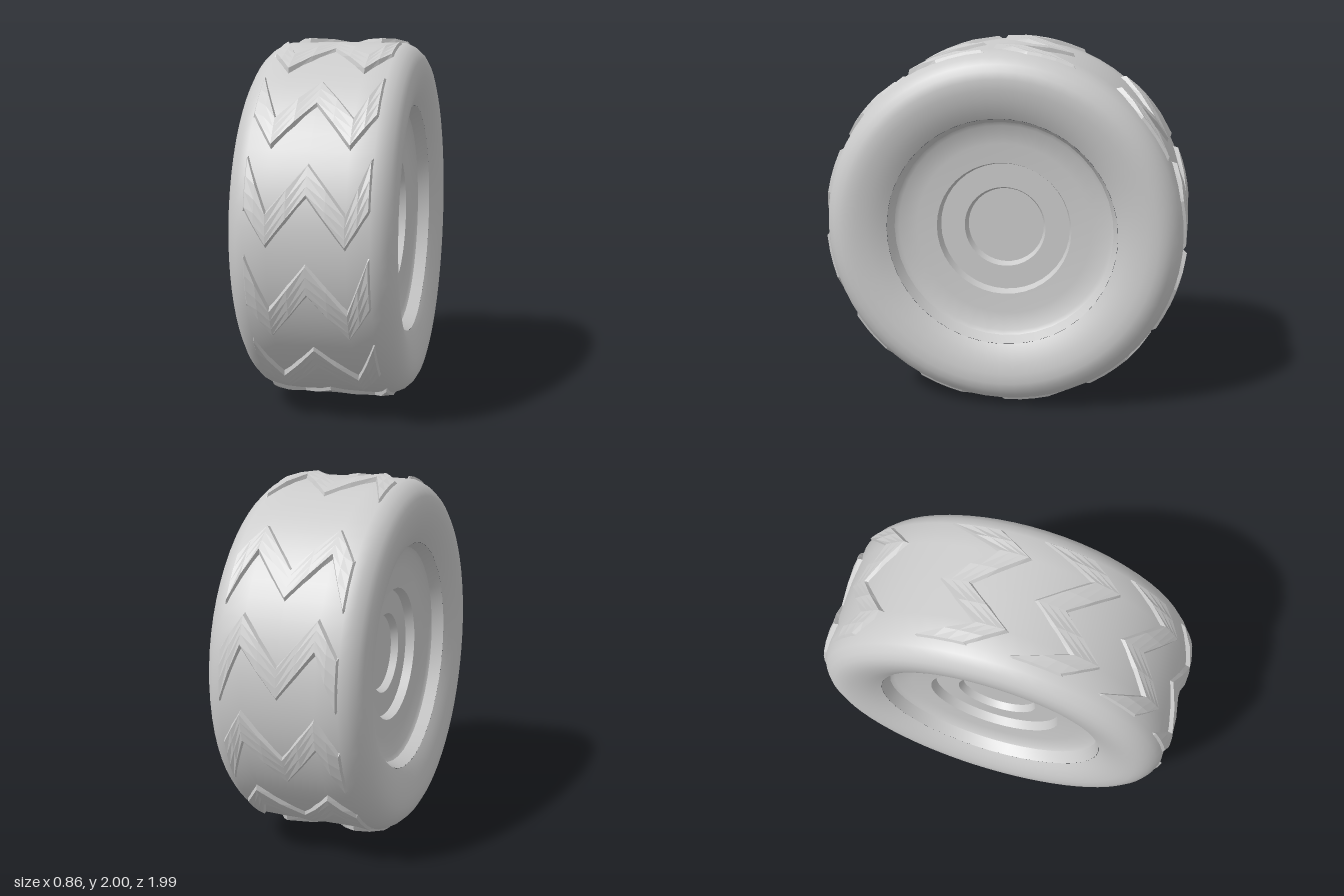
import * as THREE from 'three';
import { toCreasedNormals } from 'three/addons/utils/BufferGeometryUtils.js';

const DEG = Math.PI / 180;
const material = new THREE.MeshStandardMaterial({ color: 0xcccccc });
const flatMaterial = new THREE.MeshStandardMaterial({ color: 0xcccccc, flatShading: true });

// Revolves [axial, radius] points around the x axis
function revolve(profile, segments, crease) {
  const points = profile.map(([x, r]) => new THREE.Vector2(r, x));
  const geometry = new THREE.LatheGeometry(points, segments);
  geometry.rotateZ(-Math.PI / 2);
  return toCreasedNormals(geometry, crease);
}

// One zigzag tread block: cross-sections placed at stations across the width
function treadGeometry() {
  // [x, upper edge angle, lower edge angle, top radius], right half
  const half = [
    [0, 0, -12, 0.992],
    [0.1, -7.2, -19.2, 0.997],
    [0.2, -14.5, -26.5, 1.0],
    [0.26, -6, -21, 0.997],
    [0.312, 2, -16, 0.988],
    [0.325, 2, -16, 0.962],
  ];
  const stations = [...half.slice(1).reverse().map(([x, ...rest]) => [-x, ...rest]), ...half];
  const positions = [];
  const index = [];
  const count = 6;
  for (const [x, upper, lower, top] of stations) {
    const foot = 0.962;
    const at = (t) => upper + (lower - upper) * t;
    const section = [
      [upper, foot], [upper - 1.8, top], [at(0.4), top],
      [at(0.65), top], [lower + 1.8, top], [lower, foot],
    ];
    for (const [angle, r] of section) {
      positions.push(x, r * Math.sin(angle * DEG), r * Math.cos(angle * DEG));
    }
  }
  for (let s = 0; s < stations.length - 1; s++) {
    for (let i = 0; i < count - 1; i++) {
      const a = s * count + i;
      const b = a + count;
      index.push(a, a + 1, b, a + 1, b + 1, b);
    }
  }
  const geometry = new THREE.BufferGeometry();
  geometry.setAttribute('position', new THREE.Float32BufferAttribute(positions, 3));
  geometry.setIndex(index);
  geometry.computeVertexNormals();
  return geometry;
}

export function createModel() {
  const wheel = new THREE.Group();
  wheel.name = 'wheel';
  wheel.position.y = 1;

  // Tyre carcass with rounded shoulders
  const side = [
    [0.37, 0.63], [0.392, 0.67], [0.414, 0.73], [0.427, 0.79], [0.43, 0.845],
    [0.42, 0.885], [0.4, 0.92], [0.365, 0.952], [0.32, 0.973], [0.2, 0.977],
  ];
  const tyreProfile = [...side.map(([x, r]) => [-x, r]), [0, 0.977], ...side.slice().reverse()];
  const tyre = new THREE.Mesh(revolve(tyreProfile, 64, 0.8), material);
  tyre.name = 'tyre';
  wheel.add(tyre);

  // Recessed, stepped rim and hub on both sides
  const rimProfile = [
    [0.37, 0.63], [0.305, 0.602], [0.29, 0.58], [0.278, 0.48], [0.27, 0.372],
    [0.22, 0.358], [0.22, 0.225], [0.18, 0.21], [0.18, 0],
  ];
  const rimGeometry = revolve(rimProfile, 40, 0.5);
  for (const [name, turn] of [['leftRim', 0], ['rightRim', Math.PI]]) {
    const rim = new THREE.Mesh(rimGeometry, material);
    rim.name = name;
    rim.rotation.y = turn;
    wheel.add(rim);
  }

  // Twelve tread blocks, leaving one wider gap
  const treadBlock = treadGeometry();
  const treads = new THREE.Group();
  treads.name = 'treads';
  for (let i = 0; i < 12; i++) {
    const tread = new THREE.Mesh(treadBlock, flatMaterial);
    tread.name = 'treadBlock';
    tread.rotation.x = -(112 - i * 29) * DEG;
    treads.add(tread);
  }
  wheel.add(treads);

  const model = new THREE.Group();
  model.name = 'model';
  model.add(wheel);
  return model;
}
